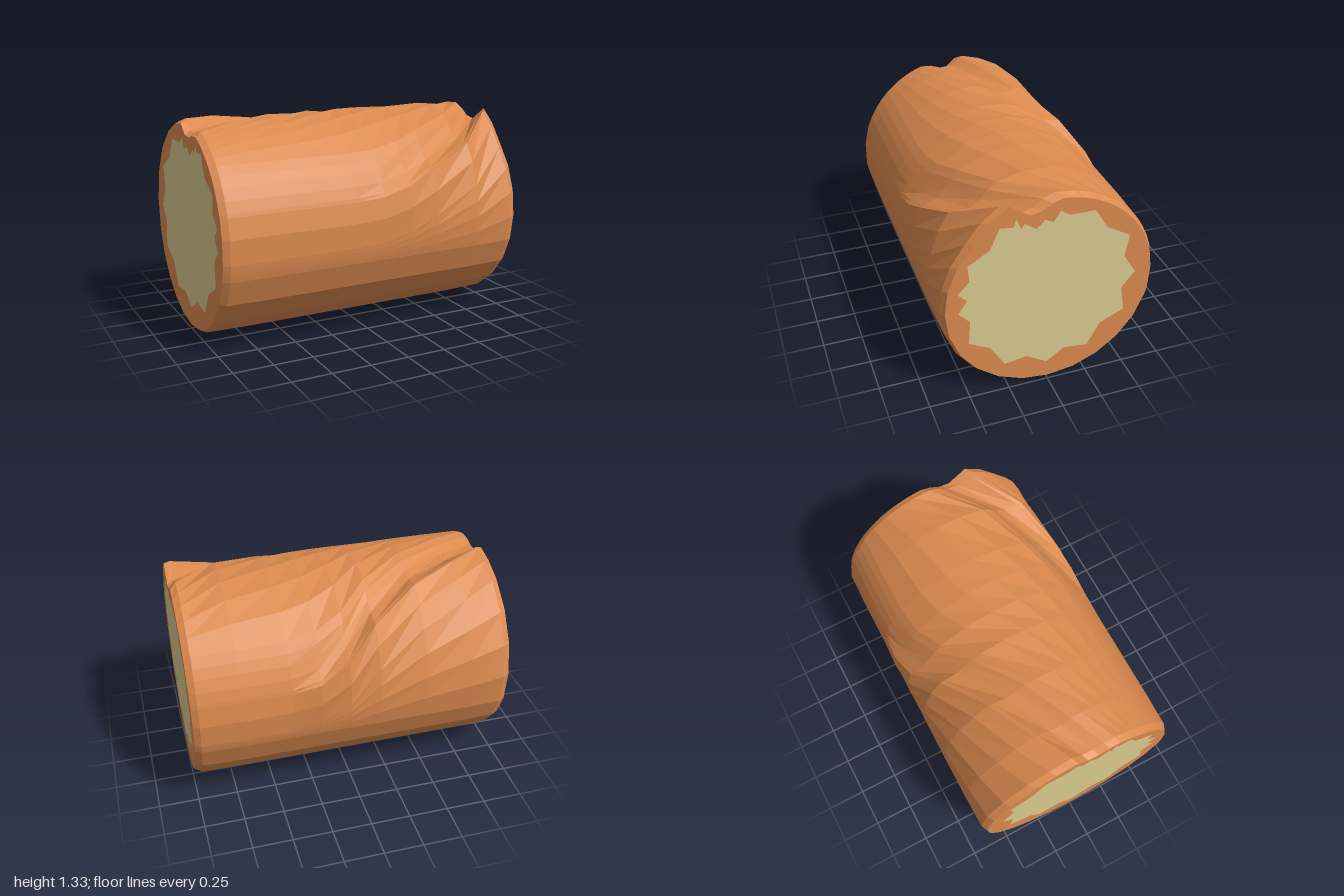
import * as THREE from 'three';

const CENTER_Y = 0.664;
const RADIUS = 0.664;

// Sections along the roll: x, radius scale, then for the front and the back seam
// the lip angle from the top (degrees), lip height and groove depth.
const SECTIONS = [
  [-1.0, 0.965, 72, 0, 0, 6, 0.004, 0.06],
  [-0.96, 0.995, 72, 0, 0, 8, 0.008, 0.06],
  [-0.75, 1, 72, 0, 0, 17, 0.018, 0.05],
  [-0.45, 1, 72, 0, 0, 29, 0.025, 0.04],
  [-0.15, 1, 72, 0, 0, 47, 0.03, 0.03],
  [0.04, 1, 71, 0.005, 0.005, 64, 0.035, 0.025],
  [0.22, 1, 67, 0.02, 0.02, 73, 0.025, 0.015],
  [0.4, 1, 60, 0.03, 0.03, 76, 0, 0],
  [0.7, 1, 47, 0.035, 0.045, 76, 0, 0],
  [0.96, 0.99, 26, 0.045, 0.065, 76, 0, 0],
  [1.0, 0.96, 22, 0.062, 0.06, 76, 0, 0],
];

// Seam cross-section: angle from the lip, share of lip height, share of groove depth
const SEAM = [
  [-27, 0, 0], [-21, 0, 0.4], [-15, 0, 1], [-8, 0, 1], [-2, 0.5, 0.1],
  [0, 1, 0], [11, 0.55, 0], [24, 0, 0],
];

// Jagged outline of the filling, as z, y pairs
const FILLING = [
  [0.22, 1.22], [0.19, 1.15], [0.17, 1.18], [0.1, 1.13], [0.05, 1.18], [0, 1.155], [-0.04, 1.22],
  [-0.1, 1.18], [-0.25, 1.18], [-0.33, 1.05], [-0.48, 0.96], [-0.455, 0.82], [-0.535, 0.69],
  [-0.455, 0.59], [-0.48, 0.42], [-0.33, 0.35], [-0.25, 0.2], [-0.1, 0.22], [0.01, 0.14],
  [0.14, 0.22], [0.28, 0.2], [0.37, 0.35], [0.5, 0.42], [0.49, 0.58], [0.56, 0.655],
  [0.505, 0.735], [0.56, 0.79], [0.49, 0.865], [0.5, 0.97], [0.37, 1.05], [0.315, 1.18], [0.235, 1.17],
];

// One closed cross-section, as [z, y] points running from the top towards the front
function ring([, scale, frontLip, frontH, frontD, backLip, backH, backD]) {
  const polar = [];
  const fill = (from, to, n) => {
    for (let i = 1; i <= n; i++) polar.push([from + ((to - from) * i) / (n + 1), RADIUS]);
  };
  fill(27 - backLip, frontLip - 27, 4);
  for (const [a, h, d] of SEAM) polar.push([frontLip + a, RADIUS + h * frontH - d * frontD]);
  fill(frontLip + 24, 105, 3);
  for (let a = 105; a <= 255; a += 15) polar.push([a, RADIUS]);
  fill(255, 360 - backLip - 24, 3);
  for (const [a, h, d] of [...SEAM].reverse()) {
    polar.push([360 - backLip - a, RADIUS + h * backH - d * backD]);
  }
  return polar.map(([a, r]) => {
    const t = THREE.MathUtils.degToRad(a);
    return [r * scale * Math.sin(t), CENTER_Y + r * scale * Math.cos(t)];
  });
}

// Skin joining the cross-sections
function skinGeometry(rings) {
  const positions = [];
  const index = [];
  const n = rings[0].length;
  rings.forEach((points, s) => points.forEach(([z, y], i) => {
    positions.push(SECTIONS[s][0], y, z);
    if (s === rings.length - 1) return;
    const a = s * n + i;
    const b = s * n + ((i + 1) % n);
    index.push(a, b, a + n, b, b + n, a + n);
  }));
  const geometry = new THREE.BufferGeometry();
  geometry.setAttribute('position', new THREE.Float32BufferAttribute(positions, 3));
  geometry.setIndex(index);
  geometry.computeVertexNormals();
  return geometry;
}

export function createModel() {
  const group = new THREE.Group();
  const crust = new THREE.MeshStandardMaterial({ color: 0xdb8a4f, flatShading: true });
  const cream = new THREE.MeshStandardMaterial({ color: 0xdacb90, flatShading: true });
  const add = (name, geometry, material) => {
    const mesh = new THREE.Mesh(geometry, material);
    mesh.name = name;
    group.add(mesh);
  };

  const rings = SECTIONS.map(ring);
  add('wrappedSkin', skinGeometry(rings), crust);

  // Cut ends: a rim of skin around the filling
  for (const side of [-1, 1]) {
    const outline = side > 0 ? rings[rings.length - 1] : rings[0];
    const flat = (points) => points.map(([z, y]) => new THREE.Vector2(-side * z, y));
    const place = (shape) => new THREE.ShapeGeometry(shape)
      .rotateY((side * Math.PI) / 2).translate(side, 0, 0);
    const rim = new THREE.Shape(flat(outline));
    rim.holes.push(new THREE.Path(flat(FILLING)));
    const label = side > 0 ? 'left' : 'right';
    add(label + 'EndRim', place(rim), crust);
    add(label + 'EndFilling', place(new THREE.Shape(flat(FILLING))), cream);
  }
  return group;
}
